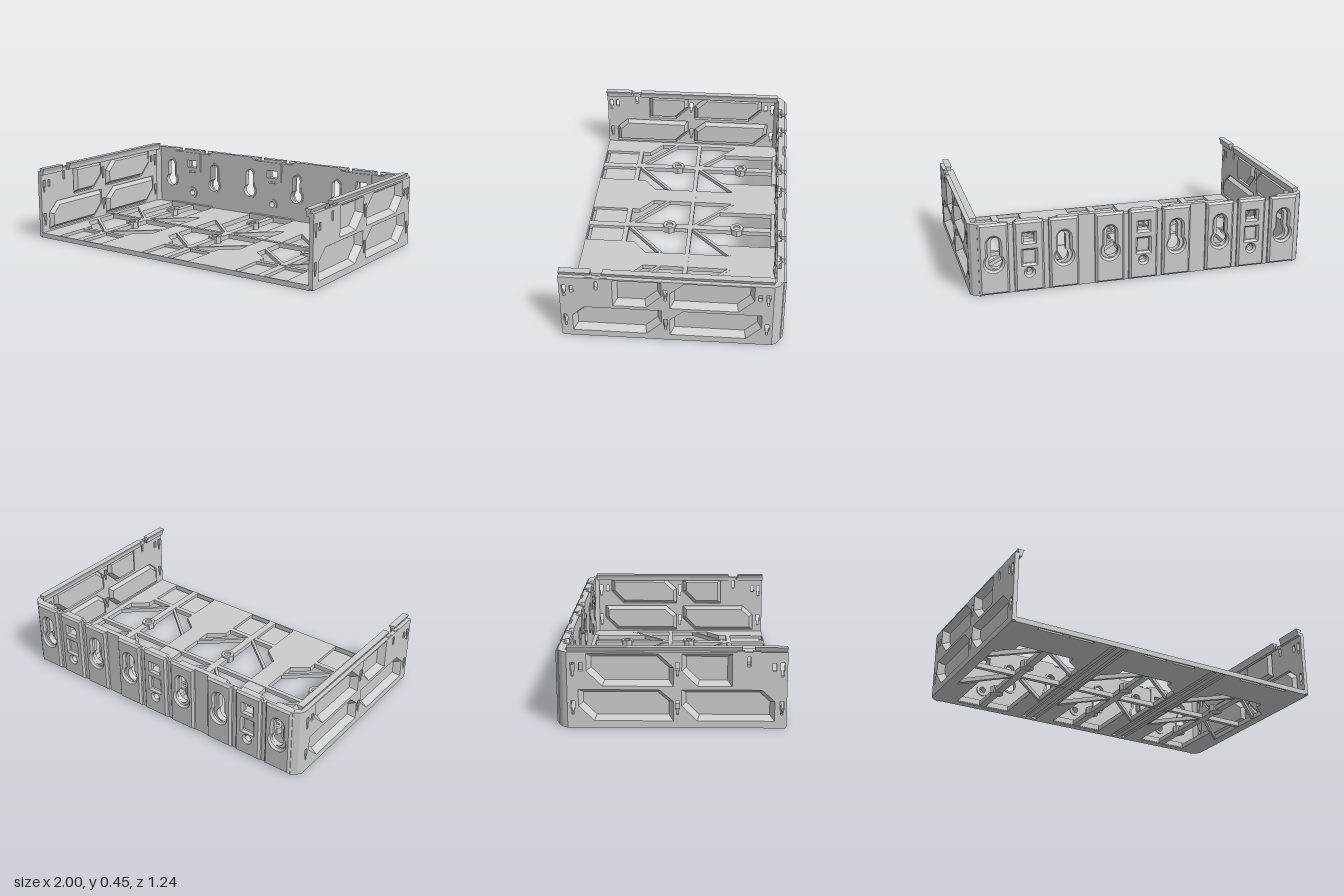
import * as THREE from 'three';

const mat = new THREE.MeshStandardMaterial({ color: 0xcccccc, flatShading: true, side: THREE.DoubleSide });
const bays = [-0.667, 0, 0.667];
const vecs = (pts) => pts.map(([x, y]) => new THREE.Vector2(x, y));
const rect = (x0, y0, x1, y1) => [[x0, y0], [x1, y0], [x1, y1], [x0, y1]];
const shift = (pts, dx) => pts.map(([x, y]) => [x + dx, y]);

function add(parent, name, geometry, x = 0, y = 0, z = 0) {
  const mesh = new THREE.Mesh(geometry, mat);
  mesh.name = name;
  mesh.position.set(x, y, z);
  parent.add(mesh);
  return mesh;
}

function box(parent, name, x0, x1, y0, y1, z0, z1) {
  return add(parent, name, new THREE.BoxGeometry(x1 - x0, y1 - y0, z1 - z0),
    (x0 + x1) / 2, (y0 + y1) / 2, (z0 + z1) / 2);
}

function plate(outline, holes, depth, bevel = 0) {
  const shape = new THREE.Shape(vecs(outline));
  shape.holes = holes.map((h) => new THREE.Path(vecs(h)));
  return new THREE.ExtrudeGeometry(shape, {
    depth, bevelEnabled: bevel > 0, bevelThickness: 0.012, bevelSize: bevel, bevelOffset: -bevel, bevelSegments: 1,
  });
}

// Horizontal plate drawn in x, z with its upper face at y = top
const slab = (outline, holes, depth) => plate(outline, holes, depth).rotateX(Math.PI / 2);

function circle(cx, cy, r, n = 20) {
  return Array.from({ length: n }, (_, i) => {
    const a = (i / n) * Math.PI * 2;
    return [cx + r * Math.cos(a), cy + r * Math.sin(a)];
  });
}

// Round lower hole that runs up into a narrower slot
function keyhole(cx, grow = 0) {
  const R = 0.043 + grow, r = 0.028 + grow, pts = [];
  const a0 = Math.PI - Math.acos(r / R), a1 = 2 * Math.PI + Math.acos(r / R);
  for (let i = 0; i <= 16; i++) {
    const a = a0 + (a1 - a0) * i / 16;
    pts.push([cx + R * Math.cos(a), 0.195 + R * Math.sin(a)]);
  }
  for (let i = 0; i <= 10; i++) {
    const a = Math.PI * i / 10;
    pts.push([cx + r * Math.cos(a), 0.31 + r * Math.sin(a)]);
  }
  return pts;
}

// Counter-clockwise outline moved inward by d
function inset(pts, d) {
  const n = pts.length;
  return pts.map((p, i) => {
    const a = pts[(i + n - 1) % n], b = pts[(i + 1) % n];
    const u = new THREE.Vector2(p[0] - a[0], p[1] - a[1]).normalize();
    const v = new THREE.Vector2(b[0] - p[0], b[1] - p[1]).normalize();
    const k = d / (1 + u.dot(v));
    return [p[0] - (u.y + v.y) * k, p[1] + (u.x + v.x) * k];
  });
}

// Pressed-in panel: sloping rim and flat bottom
function pocket(parent, pts, depth) {
  const low = inset(pts, 0.024), n = pts.length, pos = [];
  for (let i = 0; i < n; i++) {
    const j = (i + 1) % n;
    const a = [...pts[i], 0], b = [...pts[j], 0], c = [...low[j], depth], d = [...low[i], depth];
    pos.push(...a, ...d, ...b, ...b, ...d, ...c);
  }
  const rim = new THREE.BufferGeometry();
  rim.setAttribute('position', new THREE.Float32BufferAttribute(pos, 3));
  rim.computeVertexNormals();
  add(parent, 'pocketRim', rim);
  add(parent, 'pocketBottom', new THREE.ShapeGeometry(new THREE.Shape(vecs(low))), 0, 0, depth);
}

function makeFloor() {
  const g = new THREE.Group();
  g.name = 'floor';
  const outline = [[-0.98, 0.62], [-0.98, -0.56], [-0.94, -0.6], [0.94, -0.6], [0.98, -0.56], [0.98, 0.62]];
  const half = [[0.17, -0.55], [0.17, -0.2], [0.27, -0.3], [0.27, 0.23], [0.17, 0.31], [0.17, 0.36]];
  const opening = [...half, ...half.map(([x, z]) => [-x, z]).reverse()];
  const upper = [], lower = [];
  for (const x of bays) {
    upper.push(shift(opening, x));
    lower.push(shift(opening, x));
    for (const s of [-1, 1]) {
      upper.push(rect(x + s * 0.022, 0.39, x + s * 0.17, 0.612));
      lower.push(rect(x + s * 0.022, 0.595, x + s * 0.17, 0.612));
    }
  }
  // Underside grooves
  for (const x of [-0.37, -0.3, 0.3, 0.37]) lower.push(rect(x - 0.017, -0.57, x + 0.017, 0.612));
  add(g, 'floorTop', slab(outline, upper, 0.018), 0, 0.03);
  add(g, 'floorUnderside', slab(outline, lower, 0.012), 0, 0.012);
  box(g, 'crossRib', -0.96, 0.96, 0.004, 0.033, -0.045, -0.018);

  for (const x of bays) {
    box(g, 'bayRib', x - 0.022, x + 0.022, 0.004, 0.033, -0.57, 0.38);
    box(g, 'bayBackLip', x - 0.17, x + 0.17, 0.004, 0.04, -0.59, -0.545);
    for (const z of [-0.33, 0.1]) {
      add(g, 'boss', slab(circle(0, 0, 0.042, 8), [circle(0, 0, 0.022, 12)], 0.044), x, 0.046, z);
    }
    for (const s of [-1, 1]) {
      for (const [z0, z1] of [[-0.3, -0.035], [0.13, 0.365]]) {
        const dx = -s * 0.27, dz = z1 - z0;
        const rib = add(g, 'diagonalRib', new THREE.BoxGeometry(Math.hypot(dx, dz), 0.026, 0.018),
          x + s * 0.135, 0.018, (z0 + z1) / 2);
        rib.rotation.y = -Math.atan2(dz, dx);
      }
    }
  }
  return g;
}

function makeBackWall() {
  const g = new THREE.Group();
  g.name = 'backWall';
  // Top edge steps down on both sides of each bay centre
  const top = [[0.95, 0.425]];
  for (const x of [...bays].reverse()) {
    top.push([x + 0.17, 0.425], [x + 0.15, 0.405], [x + 0.085, 0.405], [x + 0.065, 0.425],
      [x - 0.065, 0.425], [x - 0.085, 0.405], [x - 0.15, 0.405], [x - 0.17, 0.425]);
  }
  const holes = [];
  for (const x of bays) {
    holes.push(rect(x - 0.04, 0.3, x + 0.04, 0.35), circle(x, 0.12, 0.02), keyhole(x - 0.185), keyhole(x + 0.185));
  }
  add(g, 'backPanel', plate([[-0.95, 0], [0.95, 0], ...top, [-0.95, 0.425]], holes, 0.03), 0, 0, -0.6);

  for (const x of bays) {
    // Raised pads on the outside
    const centre = plate(rect(-0.085, 0.005, 0.085, 0.425),
      [rect(-0.03, 0.3, 0.03, 0.35), rect(-0.035, 0.17, 0.035, 0.25), circle(0, 0.12, 0.02)], 0.018, 0.012);
    add(g, 'centrePad', centre, x, 0, -0.611);
    for (const s of [-1, 1]) {
      const pad = plate(rect(-0.085, 0.005, 0.085, 0.425), [keyhole(0, 0.006)], 0.018, 0.012);
      add(g, 'keyholePad', pad, x + s * 0.2, 0, -0.611);
    }
    // Inside frame around the clip window and the screw collar
    add(g, 'clipFrame', plate(rect(-0.07, 0.275, 0.07, 0.405), [rect(-0.04, 0.3, 0.04, 0.35)], 0.008), x, 0, -0.57);
    box(g, 'clipTab', x - 0.025, x + 0.025, 0.265, 0.277, -0.57, -0.555);
    add(g, 'screwCollar', plate(circle(0, 0.12, 0.038), [circle(0, 0.12, 0.02)], 0.008), x, 0, -0.57);
    for (const s of [-1, 1]) {
      add(g, 'keyholeRim', plate(keyhole(0, 0.012), [keyhole(0)], 0.006), x + s * 0.185, 0, -0.571);
    }
  }
  return g;
}

function makeSide() {
  const g = new THREE.Group();
  g.name = 'sideWall';
  // Panel is drawn in z, y and pushed inward from the outer face
  const panel = new THREE.Group();
  panel.name = 'sidePanel';
  panel.position.x = 1;
  panel.rotation.y = -Math.PI / 2;
  g.add(panel);
  const pockets = [
    [[0.14, 0.235], [0.325, 0.235], [0.325, 0.42 - 0.005], [0.055, 0.415], [0.055, 0.32]],
    [[-0.37, 0.235], [0.01, 0.235], [0.01, 0.34], [-0.07, 0.415], [-0.455, 0.415], [-0.455, 0.32]],
    [[0.14, 0.04], [0.555, 0.04], [0.555, 0.15], [0.485, 0.215], [0.055, 0.215], [0.055, 0.125]],
    [[-0.415, 0.04], [0.01, 0.04], [0.01, 0.15], [-0.065, 0.215], [-0.5, 0.215], [-0.5, 0.125]],
  ];
  const holes = [...pockets];
  for (const z of [0.593, 0.033, -0.53]) {
    for (const y of [0.29, 0.075]) {
      holes.push([[z - 0.006, y], [z + 0.006, y], [z + 0.006, y + 0.03], [z + 0.011, y + 0.03],
        [z + 0.011, y + 0.077], [z - 0.011, y + 0.077], [z - 0.011, y + 0.03], [z - 0.006, y + 0.03]]);
    }
  }
  for (const z of [0.55, -0.485]) holes.push(rect(z - 0.01, 0.32, z + 0.01, 0.365));
  holes.push(rect(0.405, 0.345, 0.422, 0.4));
  const outline = [[-0.56, 0], [0.612, 0], [0.62, 0.008], [0.62, 0.424], [-0.56, 0.424]];
  add(panel, 'sidePlate', plate(outline, holes, 0.025));
  pockets.forEach((p) => pocket(panel, p, 0.042));

  // Flared rail along the top, broken by a notch near the front
  const rail = [[0.957, 0.405], [0.978, 0.405], [0.976, 0.425], [0.985, 0.447], [0.945, 0.447], [0.955, 0.425]];
  for (const [z0, z1] of [[-0.56, 0.38], [0.445, 0.62]]) add(g, 'topRail', plate(rail, [], z1 - z0), 0, 0, z0);
  for (const z of [0.37, 0.455]) box(g, 'notchClip', 0.965, 0.995, 0.405, 0.428, z - 0.02, z + 0.02);

  // Chamfered corner towards the back
  const corner = [[1, -0.56], [0.985, -0.585], [0.945, -0.612], [0.945, -0.575], [0.975, -0.545]];
  add(g, 'backCorner', slab(corner, [], 0.424), 0, 0.424);
  return g;
}

export function createModel() {
  const model = new THREE.Group();
  model.name = 'openTray';
  model.add(makeFloor(), makeBackWall());
  for (const s of [1, -1]) {
    const side = makeSide();
    side.name = s > 0 ? 'leftSide' : 'rightSide';
    side.scale.x = s;
    model.add(side);
  }
  return model;
}
